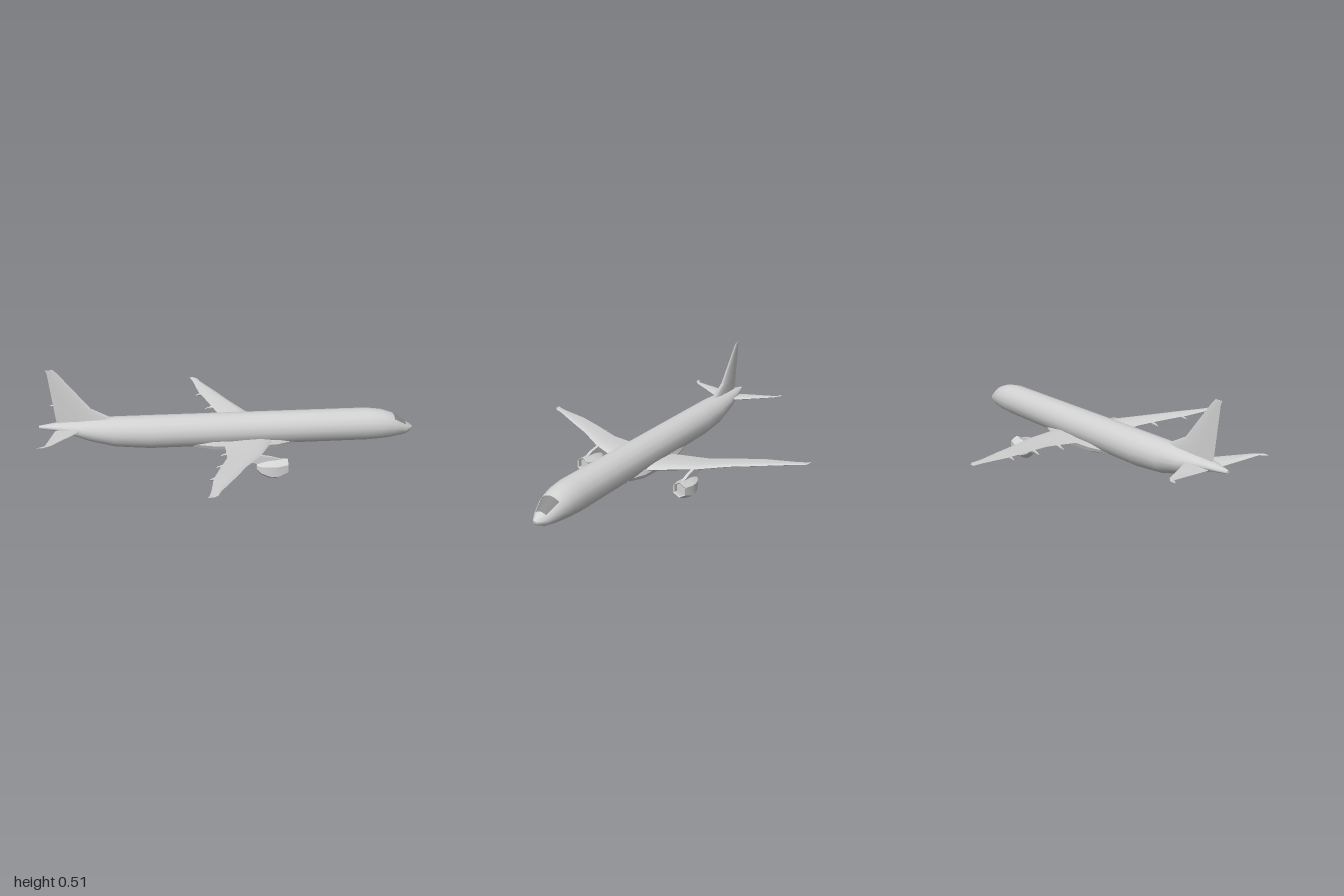
import * as THREE from 'three';
import { toCreasedNormals } from 'three/addons/utils/BufferGeometryUtils.js';

const paint = new THREE.MeshStandardMaterial({ color: 0xd2d2d2 });
paint.name = 'light grey paint';
const glass = new THREE.MeshStandardMaterial({ color: 0x8a8a8a });
glass.name = 'grey windscreen';

// Skins a list of closed rings of [x, y, z] points and caps both ends.
// isGlass(ring, side) picks the faces that use the second material.
function loft(rings, isGlass = () => false, crease = 0.6) {
  const n = rings[0].length;
  const pts = rings.flat();
  const faces = [[], []];
  for (let i = 0; i < rings.length - 1; i++) {
    for (let j = 0; j < n; j++) {
      const k = (j + 1) % n;
      const a = i * n + j, b = i * n + k, c = a + n, d = b + n;
      faces[isGlass(i, j) ? 1 : 0].push([a, b, d], [a, d, c]);
    }
  }
  [0, rings.length - 1].forEach((i) => {
    const centre = [0, 1, 2].map((m) => rings[i].reduce((s, p) => s + p[m], 0) / n);
    pts.push(centre);
    for (let j = 0; j < n; j++) {
      const a = i * n + j, b = i * n + (j + 1) % n;
      faces[0].push(i === 0 ? [b, a, pts.length - 1] : [a, b, pts.length - 1]);
    }
  });
  // Turn the faces outward if the enclosed volume is negative
  const v = pts.map((p) => new THREE.Vector3(...p));
  const cross = new THREE.Vector3();
  const volume = faces.flat().reduce(
    (s, [a, b, c]) => s + v[a].dot(cross.crossVectors(v[b], v[c])), 0);
  const order = (f) => (volume < 0 ? [f[0], f[2], f[1]] : f);
  const geo = new THREE.BufferGeometry().setFromPoints(v);
  geo.setIndex(faces.flat().flatMap(order));
  geo.addGroup(0, faces[0].length * 3, 0);
  if (faces[1].length) geo.addGroup(faces[0].length * 3, faces[1].length * 3, 1);
  return toCreasedNormals(geo, crease);
}

// Upright ring across x; power below 1 makes it boxier
function ring(x, top, bottom, halfWidth, sides, z = 0, power = 1) {
  const round = (t) => Math.sign(t) * Math.abs(t) ** power;
  return Array.from({ length: sides }, (_, j) => {
    const a = (j / sides) * Math.PI * 2;
    return [
      x,
      (top + bottom) / 2 + ((top - bottom) / 2) * round(Math.cos(a)),
      z + halfWidth * round(Math.sin(a)),
    ];
  });
}

// Aerofoil outline from trailing edge to leading edge and back: [x, offset]
const FOIL = [[0, 0], [0.35, 0.7], [0.75, 1], [0.94, 0.6], [1, 0], [0.94, -0.6], [0.75, -1], [0.35, -0.7]];
const foil = (trail, lead, half) => FOIL.map(([u, t]) => [trail + (lead - trail) * u, t * half]);

export function createModel() {
  const model = new THREE.Group();
  model.name = 'airliner';
  const add = (name, geo, material = paint) => {
    const mesh = new THREE.Mesh(geo, material);
    mesh.name = name;
    model.add(mesh);
  };

  // Fuselage: x, top, bottom, half width
  const body = [
    [-1, 0.213, 0.197, 0.008], [-0.92, 0.224, 0.186, 0.034], [-0.86, 0.23, 0.172, 0.048],
    [-0.74, 0.239, 0.122, 0.068], [-0.61, 0.245, 0.087, 0.083], [-0.43, 0.245, 0.07, 0.088],
    [0.74, 0.243, 0.07, 0.088], [0.82, 0.233, 0.074, 0.082], [0.885, 0.212, 0.081, 0.07],
    [0.955, 0.163, 0.092, 0.042], [0.985, 0.144, 0.109, 0.021], [0.997, 0.135, 0.122, 0.008],
  ];
  add('fuselage', loft(
    body.map(([x, t, b, w]) => ring(x, t, b, w, 16)),
    (i, j) => i === 8 && (j < 2 || j > 13),
    0.75,
  ), [paint, glass]);

  // Belly fairing between the wing roots
  add('bellyFairing', loft([
    [-0.2, 0.12, 0.075, 0.06], [-0.1, 0.13, 0.058, 0.083], [0, 0.13, 0.051, 0.086],
    [0.14, 0.13, 0.05, 0.088], [0.24, 0.125, 0.056, 0.084], [0.34, 0.12, 0.072, 0.055],
  ].map(([x, t, b, w]) => ring(x, t, b, w, 12, 0, 0.75))));

  // Fin: y, trailing x, leading x, half thickness
  add('fin', loft([
    [0.2, -0.9, -0.58, 0.02], [0.25, -0.912, -0.635, 0.016], [0.3, -0.917, -0.73, 0.012],
    [0.495, -0.938, -0.885, 0.004], [0.515, -0.946, -0.905, 0.002],
  ].map(([y, t, l, h]) => foil(t, l, h).map(([x, o]) => [x, y, o]))));

  for (const side of [1, -1]) {
    const label = side > 0 ? 'right' : 'left';
    // Flat surface: z, y, trailing x, leading x, half thickness
    const surface = (name, stations) => add(name, loft(
      stations.map(([z, y, t, l, h]) => foil(t, l, h).map(([x, o]) => [x, y + o, z * side])),
    ));

    surface(label + 'Wing', [
      [0.04, 0.105, -0.04, 0.23, 0.018], [0.09, 0.108, -0.04, 0.21, 0.017],
      [0.305, 0.128, -0.045, 0.123, 0.01], [0.45, 0.144, -0.092, 0.035, 0.007],
      [0.585, 0.155, -0.135, -0.032, 0.005], [0.735, 0.166, -0.158, -0.112, 0.003],
      [0.785, 0.17, -0.17, -0.13, 0.002], [0.802, 0.172, -0.18, -0.15, 0.001],
    ]);
    surface(label + 'Stabilizer', [
      [0.01, 0.193, -0.91, -0.755, 0.009], [0.06, 0.197, -0.917, -0.785, 0.008],
      [0.265, 0.212, -0.942, -0.912, 0.003], [0.292, 0.215, -0.98, -0.945, 0.001],
    ]);

    // Six-sided nacelle with a recessed intake: x, centre y, radius
    add(label + 'Engine', loft([
      [0.105, 0.07, 0.018], [0.125, 0.061, 0.035], [0.165, 0.055, 0.05], [0.205, 0.054, 0.054],
      [0.262, 0.066, 0.04], [0.258, 0.066, 0.034], [0.235, 0.063, 0.034],
    ].map(([x, y, r]) => ring(x, y + r, y - r, r, 6, 0.297 * side))));

    // Pylon plate from wing to nacelle
    const outline = [[-0.01, 0.125], [0.1, 0.134], [0.18, 0.12], [0.24, 0.1], [0.14, 0.075], [0.1, 0.088]];
    const pylon = new THREE.ExtrudeGeometry(
      new THREE.Shape(outline.map(([x, y]) => new THREE.Vector2(x, y))),
      { depth: 0.016, bevelEnabled: false },
    );
    pylon.translate(0, 0, 0.297 * side - 0.008);
    add(label + 'Pylon', pylon);

    // Flap track fairings under the trailing edge: z, y, rear x
    [[0.22, 0.108, -0.07], [0.395, 0.126, -0.108], [0.567, 0.147, -0.152]].forEach(([z, y, x], i) => {
      add(label + 'FlapFairing' + (i + 1), loft([
        ring(x, y - 0.004, y - 0.008, 0.001, 6, z * side),
        ring(x + 0.03, y + 0.008, y - 0.01, 0.005, 6, z * side),
        ring(x + 0.08, y + 0.006, y, 0.002, 6, z * side),
      ]));
    });
  }
  return model;
}
